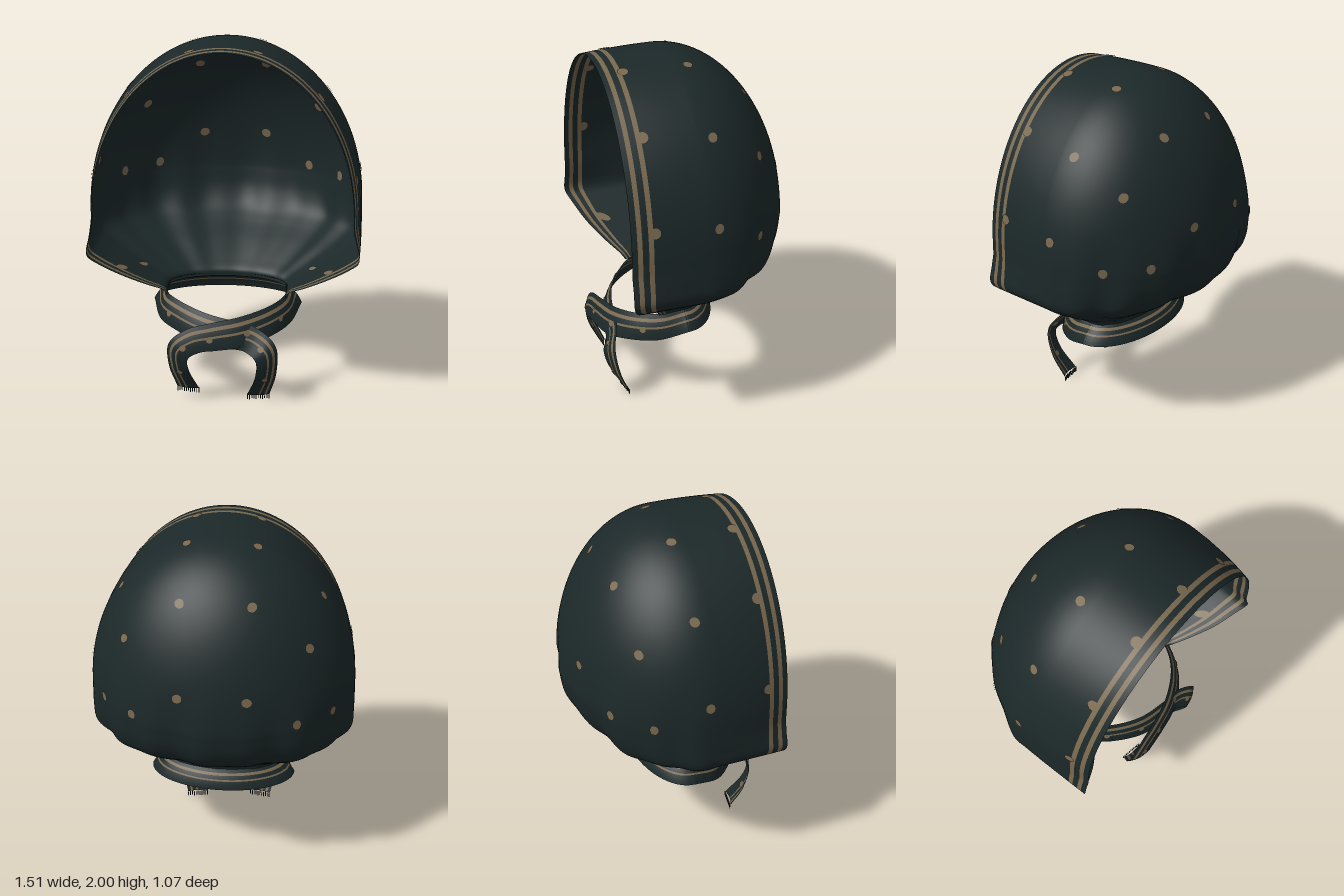
import * as THREE from 'three';
import { mergeGeometries, mergeVertices } from 'three/addons/utils/BufferGeometryUtils.js';

const cloth = new THREE.MeshStandardMaterial({ color: 0x1c2829, side: THREE.DoubleSide });
cloth.name = 'dark cloth';
const tan = new THREE.MeshStandardMaterial({ color: 0x79684e, side: THREE.DoubleSide });
tan.name = 'tan print';

const C = 0.1; // z where the rounded back meets the straight sides
const clamp = (v) => Math.min(1, Math.max(0, v));

// Gathered lower part: height, half width, front edge, back edge
const lower = [
  [0.55, 0.335, 0.24, -0.075], [0.59, 0.36, 0.27, -0.08], [0.64, 0.44, 0.33, -0.14],
  [0.72, 0.56, 0.41, -0.25], [0.80, 0.675, 0.465, -0.37], [0.87, 0.742, 0.5, -0.45],
  [0.97, 0.752, 0.5, -0.505], [1.1, 0.75, 0.5, -0.53],
];
const spline = (f) => new THREE.CatmullRomCurve3(lower.map(f), false, 'catmullrom');
const sides = spline((p) => new THREE.Vector3(p[1], p[0], p[2]));
const back = spline((p) => new THREE.Vector3(p[3], p[0], 0));

// Cross-section sizes at v: 0 neck, 1 widest height, 2 crown
function section(v) {
  if (v < 1) {
    const p = sides.getPoint(v);
    return { y: p.y, W: p.x, F: p.z, B: back.getPoint(v).x };
  }
  const a = (v - 1) * Math.PI / 2;
  return { y: 1.1 + 0.9 * Math.sin(a), W: 0.75 * Math.cos(a), F: 0.5, B: C - 0.63 * Math.cos(a) };
}

// Point on the hood; |u| < 0.6 is the rounded back, the rest runs to the face opening
function hoodPoint(u, v) {
  const { y, W, F, B } = section(v);
  const q = Math.abs(u), sgn = Math.sign(u);
  if (q <= 0.6) {
    const a = (u / 0.6) * Math.PI / 2;
    const fade = Math.max(0, Math.cos(a)) ** 0.5;
    const gather = clamp((1.35 - y) / 0.45) * clamp((y - 0.5) / 0.2);
    const r = 1 + fade * gather * (0.02 * Math.cos(a * 9 + 0.3) + 0.014 * Math.sin(a * 17));
    return new THREE.Vector3(W * Math.sin(a) * r, y, C - (C - B) * Math.cos(a) * r);
  }
  const s = (q - 0.6) / 0.4;
  const up = clamp((y - 0.85) / 0.18);
  return new THREE.Vector3(sgn * W * (1 - 0.065 * s * s * up), y - 0.015 * s * s * clamp((y - 1.1) / 0.9), C + (F - C) * s);
}

// Smooth sheet from a point function; columns picked by isTan get the second material
function sheet(fn, us, vs, isTan) {
  const pos = [], index = [], n = vs.length;
  const g = new THREE.BufferGeometry();
  us.forEach((u) => vs.forEach((v) => pos.push(...fn(u, v).toArray())));
  for (let i = 0; i < us.length - 1; i++) {
    const start = index.length;
    for (let j = 0; j < n - 1; j++) {
      const a = i * n + j, b = a + n;
      index.push(a, a + 1, b, b, a + 1, b + 1);
    }
    g.addGroup(start, index.length - start, isTan((us[i] + us[i + 1]) / 2) ? 1 : 0);
  }
  g.setAttribute('position', new THREE.Float32BufferAttribute(pos, 3));
  g.setIndex(index);
  const m = mergeVertices(g, 1e-5);
  m.computeVertexNormals();
  return m;
}

const steps = (n, a, b) => Array.from({ length: n + 1 }, (_, i) => a + (b - a) * i / n);

function add(group, name, geometry, material) {
  const m = new THREE.Mesh(geometry, material);
  m.name = name;
  group.add(m);
}

// v on the hood for a given height
function vAt(y) {
  if (y >= 1.1) return 1 + Math.asin((y - 1.1) / 0.9) / (Math.PI / 2);
  let a = 0, b = 1;
  for (let i = 0; i < 30; i++) {
    const m = (a + b) / 2;
    if (section(m).y < y) a = m; else b = m;
  }
  return a;
}

// Printed dot on a sheet, one disc on each side of the cloth
function dot(fn, u, v, rx, ry = rx) {
  const e = 0.005;
  const p = fn(u, v);
  const du = fn(u + e, v).sub(fn(u - e, v));
  const dv = fn(u, v + e).sub(fn(u, v - e));
  const n = dv.cross(du).normalize();
  const turn = new THREE.Quaternion().setFromUnitVectors(new THREE.Vector3(0, 0, 1), n);
  return [0.0045, -0.0045].map((d) => {
    const at = p.clone().addScaledVector(n, d);
    return new THREE.CircleGeometry(1, 14).scale(rx, ry, 1).applyQuaternion(turn).translate(at.x, at.y, at.z);
  });
}

// Ribbon between two smooth edges, with printed stripes along it
const across = [0, 0.08, 0.16, 0.28, 0.37, 0.46, 0.54, 0.7, 0.85, 1];
const stripe = (u) => (u > 0.16 && u < 0.28) || (u > 0.46 && u < 0.54);
function ribbonPoint(rows, bulge) {
  const edge = (k) => new THREE.CatmullRomCurve3(rows.map((r) => new THREE.Vector3(...r.slice(k, k + 3))));
  const top = edge(0), bottom = edge(3);
  return (u, t) => {
    const p = top.getPoint(t).lerp(bottom.getPoint(t), u);
    const out = new THREE.Vector3(p.x, 0, p.z - C).normalize();
    return p.addScaledVector(out, bulge * Math.sin(Math.PI * u));
  };
}
const ribbon = (fn) => sheet(fn, across, steps(60, 0, 1), stripe);

export function createModel() {
  const model = new THREE.Group();
  model.name = 'headscarf';

  // Hood with two stripes along the face opening
  const edge = [0.25, 0.5, 0.7175, 0.7825, 0.8625, 0.925, 1].map((s) => 0.6 + 0.4 * s);
  const us = [...edge.map((u) => -u).reverse(), ...steps(96, -0.6, 0.6), ...edge];
  const rimStripe = (u) => {
    const s = (Math.abs(u) - 0.6) / 0.4;
    return (s > 0.7175 && s < 0.7825) || (s > 0.8625 && s < 0.925);
  };
  add(model, 'hood', sheet(hoodPoint, us, steps(88, 0, 2), rimStripe), [cloth, tan]);

  // Dots on the hood: half spacing x and height, mirrored
  const dots = [];
  const spots = [[0.19, 1.77], [0.495, 1.53], [0.185, 1.31], [0.445, 1.14], [0.635, 1.13],
    [0.19, 1.9645], [0.55, 1.7], [0.733, 1.27]];
  for (const sgn of [-1, 1]) {
    for (const [x, y] of spots) {
      const v = vAt(y);
      const u = 0.6 * Math.asin(Math.min(1, x / section(v).W)) / (Math.PI / 2);
      dots.push(...dot(hoodPoint, sgn * u, v, 0.025, 0.028));
    }
    // half dots touching the inner stripe
    for (const y of [1.972, 1.74, 1.29]) dots.push(...dot(hoodPoint, sgn * 0.878, vAt(y), 0.03));
    // stretched dots in the gathers
    dots.push(...dot(hoodPoint, sgn * 0.862, vAt(0.73), 0.022, 0.05));
    dots.push(...dot(hoodPoint, sgn * 0.59, vAt(0.67), 0.018, 0.04));
  }
  add(model, 'printedDots', mergeGeometries(dots), tan);

  // Flared collar round the back of the neck
  const collar = steps(16, -1, 1).map((k) => {
    const a = k * Math.PI / 2, s = Math.sin(a), c = Math.cos(a);
    return [0.335 * s, 0.57, C - 0.175 * c, 0.425 * s, 0.465, C - 0.24 * c];
  });
  add(model, 'collar', ribbon(ribbonPoint(collar, 0.012)), [cloth, tan]);

  // Crossed ties: upper edge, lower edge
  const tie = [
    [0.335, 0.57, 0.09, 0.425, 0.465, 0.09],
    [0.33, 0.555, 0.22, 0.37, 0.41, 0.26],
    [0.25, 0.535, 0.34, 0.27, 0.385, 0.4],
    [0.1, 0.505, 0.43, 0.12, 0.35, 0.49],
    [-0.07, 0.475, 0.47, -0.03, 0.335, 0.52],
    [-0.2, 0.44, 0.485, -0.12, 0.325, 0.53],
    [-0.295, 0.36, 0.49, -0.185, 0.285, 0.53],
    [-0.3, 0.22, 0.465, -0.185, 0.21, 0.505],
    [-0.26, 0.06, 0.405, -0.135, 0.06, 0.425],
  ];
  const rear = tie.map((r, i) => {
    const dz = i > 1 && i < 6 ? -0.035 : 0, dy = i > 6 ? -0.03 : 0;
    return [-r[0], r[1] + dy, r[2] + dz, -r[3], r[4] + dy, r[5] + dz];
  });
  [['frontTie', tie], ['rearTie', rear]].forEach(([name, rows]) => {
    const point = ribbonPoint(rows, 0.012);
    add(model, name, ribbon(point), [cloth, tan]);
    // Half dots touching the lower stripe
    const spotsOnTie = [0.2, 0.36, 0.52, 0.7, 0.9].flatMap((t) => dot(point, 0.56, t, 0.018));
    add(model, name + 'Dots', mergeGeometries(spotsOnTie), tan);
    // Frayed end
    const [x0, y, z0, x1, , z1] = rows[rows.length - 1];
    const threads = steps(10, 0.02, 0.98).map((t, i) => new THREE.BoxGeometry(0.005, 0.03, 0.004)
      .translate(x0 + (x1 - x0) * t, y - 0.015 + (i % 3) * 0.003, z0 + (z1 - z0) * t - 0.004));
    add(model, name + 'Fringe', mergeGeometries(threads), cloth);
  });
  return model;
}
